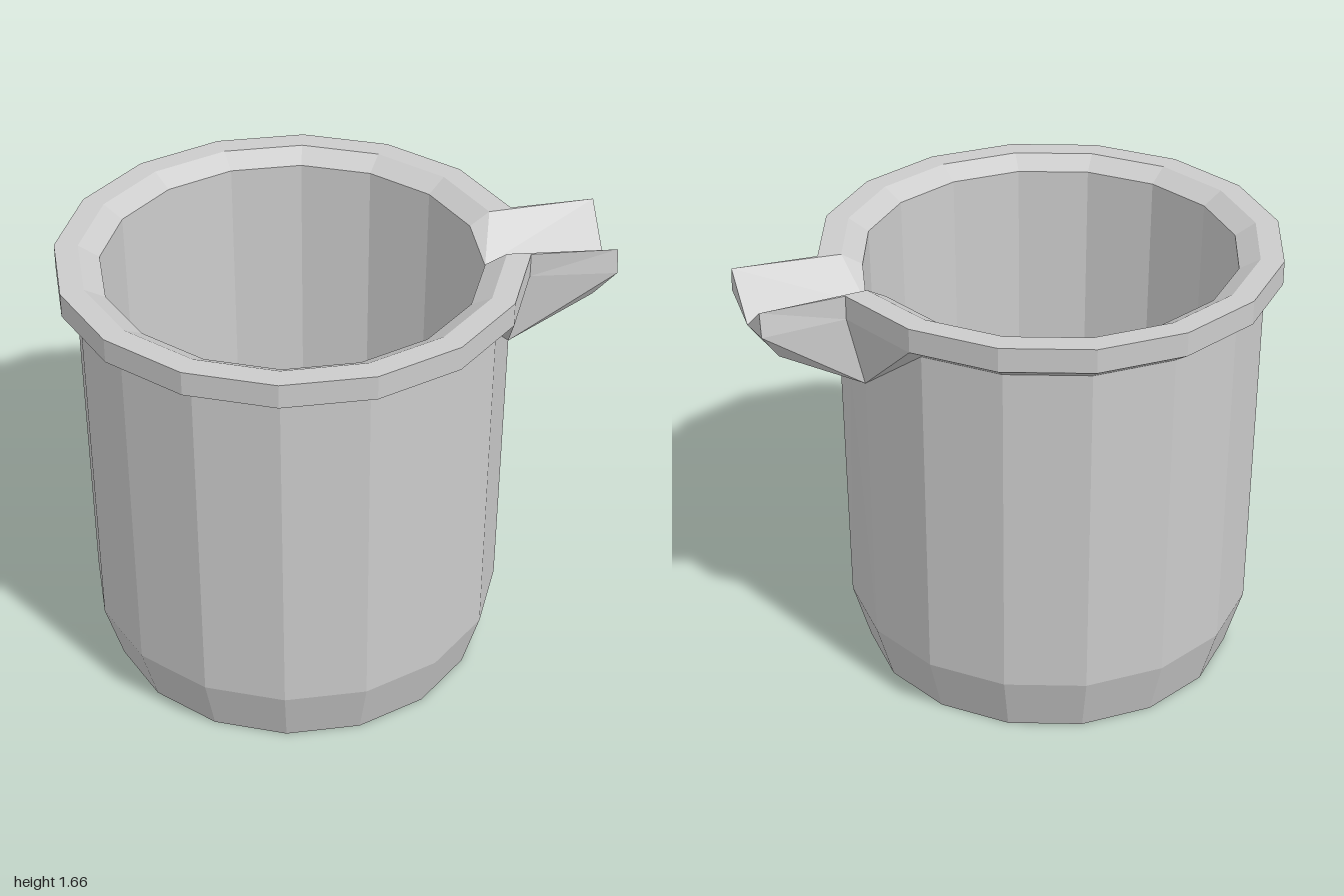
import * as THREE from 'three';

const SIDES = 16, STEP = Math.PI * 2 / SIDES, CX = -0.155;

// [radius, height] from the underside, up the outside, over the rim, down the inside
const PROFILE = [
  [0, 0], [0.705, 0], [0.77, 0.225], [0.78, 1.53], [0.845, 1.575], [0.845, 1.665],
  [0.76, 1.665], [0.685, 1.62], [0.665, 0.35], [0.58, 0.18], [0.47, 0.1], [0, 0.1],
];
const NECK = 3, RIM_LOW = 4, RIM_TOP = 5, LIP = 6, BEVEL = 7, WALL_FOOT = 8;

// Point in cylindrical coordinates about the pot axis
const polar = (r, y, a) => new THREE.Vector3(CX + r * Math.cos(a), y, r * Math.sin(a));

// Profile point j on rib k; the neck drops under the two ribs that carry the spout
function rib(j, k) {
  const [r, y] = PROFILE[j];
  const n = (k + SIDES) % SIDES;
  return polar(r, j === NECK && n < 2 ? 1.3 : y, n * STEP);
}

// Point in the spout's own frame: u outward, y up, w sideways
function local(u, y, w) {
  const a = STEP / 2;
  return new THREE.Vector3(
    CX + u * Math.cos(a) - w * Math.sin(a), y, u * Math.sin(a) + w * Math.cos(a));
}

// Collects flat triangles and quads into a mesh
class Facets {
  constructor() { this.points = []; }
  tri(a, b, c, flip = false) {
    if (a.distanceTo(b) < 1e-5 || b.distanceTo(c) < 1e-5 || a.distanceTo(c) < 1e-5) return;
    this.points.push(...(flip ? [a, c, b] : [a, b, c]));
  }
  quad(a, b, c, d, flip = false) {
    this.tri(a, b, c, flip);
    this.tri(a, c, d, flip);
  }
  mesh(name) {
    const geometry = new THREE.BufferGeometry().setFromPoints(this.points);
    geometry.computeVertexNormals();
    const material = new THREE.MeshStandardMaterial({ color: 0xcccccc, flatShading: true });
    const mesh = new THREE.Mesh(geometry, material);
    mesh.name = name;
    return mesh;
  }
}

function createPot() {
  const f = new Facets();
  for (let k = 0; k < SIDES; k++) {
    for (let j = 0; j < PROFILE.length - 1; j++) {
      if (k === 0 && j >= NECK - 1 && j < WALL_FOOT) continue; // opening for the spout
      const [a, b, c, d] = [rib(j, k), rib(j + 1, k), rib(j + 1, k + 1), rib(j, k + 1)];
      // Before the spout the diagonal runs the other way, mirroring the far side
      if (k === SIDES - 1) f.quad(b, c, d, a);
      else f.quad(a, b, c, d);
    }
  }
  // Wall panel beneath the spout, with a point at its middle
  const mid = local(0.772, 1.25, 0);
  f.tri(rib(2, 0), rib(NECK, 0), mid);
  f.tri(rib(2, 0), mid, rib(2, 1));
  f.tri(mid, rib(NECK, 1), rib(2, 1));
  // Inner wall panel rising to the channel
  const notch = local(0.703, 1.53, 0);
  f.tri(notch, rib(WALL_FOOT, 0), rib(WALL_FOOT, 1));
  for (const k of [0, 1]) {
    f.tri(notch, rib(BEVEL, k), rib(LIP, k), k === 0);
    f.tri(notch, rib(WALL_FOOT, k), rib(BEVEL, k), k === 0);
  }
  return f.mesh('pot');
}

function createSpout() {
  const f = new Facets();
  const notch = local(0.703, 1.53, 0), tipNotch = local(1.14, 1.53, 0);
  const mid = local(0.772, 1.25, 0), tipMid = local(1.07, 1.465, 0);
  for (const s of [-1, 1]) {
    const k = s > 0 ? 1 : 0, flip = s < 0;
    const top = local(1.14, 1.665, 0.18 * s);
    const side = local(1.14, 1.575, 0.193 * s);
    const low = local(1.07, 1.465, 0.142 * s);
    // Cheek
    f.quad(rib(RIM_LOW, k), side, top, rib(RIM_TOP, k), flip);
    f.quad(rib(NECK, k), low, side, rib(RIM_LOW, k), flip);
    // Upper edge and V channel
    f.tri(rib(LIP, k), rib(RIM_TOP, k), top, flip);
    f.quad(notch, rib(LIP, k), top, tipNotch, flip);
    // Tip
    f.tri(tipNotch, top, side, flip);
    f.tri(tipNotch, side, low, flip);
    f.tri(tipNotch, low, tipMid, flip);
    // Underside
    f.quad(mid, tipMid, low, rib(NECK, k), flip);
  }
  return f.mesh('spout');
}

export function createModel() {
  const group = new THREE.Group();
  group.name = 'pouringPot';
  group.add(createPot(), createSpout());
  return group;
}
